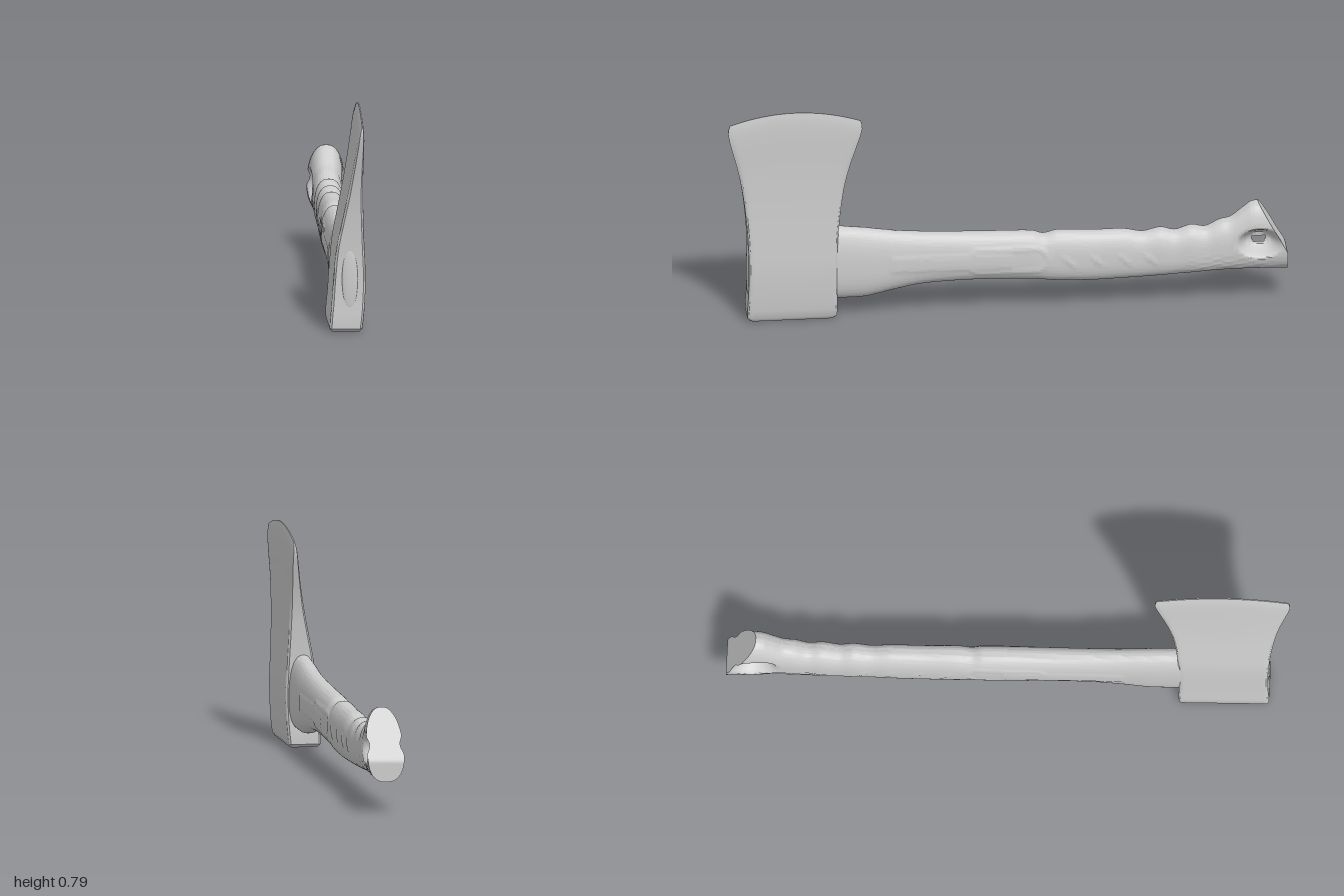
import * as THREE from 'three';
import { toCreasedNormals } from 'three/addons/utils/BufferGeometryUtils.js';

const smooth = THREE.MathUtils.smoothstep;

// Interpolates a table of rows [key, a, b, ...] (ascending keys) with a smooth curve.
function sample(rows, key) {
  let i = 0;
  while (i < rows.length - 2 && key > rows[i + 1][0]) i++;
  const p = rows[Math.max(i - 1, 0)], a = rows[i], b = rows[i + 1];
  const q = rows[Math.min(i + 2, rows.length - 1)];
  const h = b[0] - a[0], t = THREE.MathUtils.clamp((key - a[0]) / h, 0, 1);
  return a.map((v, c) => {
    const ma = (b[c] - p[c]) / (b[0] - p[0]) * h;
    const mb = (q[c] - v) / (q[0] - a[0]) * h;
    const t2 = t * t, t3 = t2 * t;
    return (2 * t3 - 3 * t2 + 1) * v + (t3 - 2 * t2 + t) * ma
      + (3 * t2 - 2 * t3) * b[c] + (t3 - t2) * mb;
  });
}

// Skins left-right mirrored rings; quads whose corners are all marked open are left out.
function loft(rings, crease) {
  const n = rings[0].length, index = [];
  const quad = (a, b, c, d) => index.push(a, b, c, a, c, d);
  for (let i = 0; i < rings.length - 1; i++) {
    for (let j = 0; j < n; j++) {
      const k = (j + 1) % n;
      if ([rings[i][j], rings[i][k], rings[i + 1][j], rings[i + 1][k]].every(p => p.open)) continue;
      quad(i * n + j, i * n + k, (i + 1) * n + k, (i + 1) * n + j);
    }
  }
  const last = (rings.length - 1) * n;
  for (let j = 0; j < n / 2 - 1; j++) {
    quad(last + j, last + j + 1, last + n - 2 - j, last + n - 1 - j);
    quad(n - 1 - j, n - 2 - j, j + 1, j);
  }
  const geometry = new THREE.BufferGeometry().setFromPoints(rings.flat());
  geometry.setIndex(index);
  return toCreasedNormals(geometry, crease);
}

// Axe head: y, centre x, half thickness, back z, front z
const HEAD = [
  [0, 0.015, 0.05, 0.622, 0.918], [0.012, 0.015, 0.058, 0.61, 0.93],
  [0.1, 0.023, 0.059, 0.61, 0.927], [0.2, 0.028, 0.057, 0.61, 0.925],
  [0.3, 0.031, 0.05, 0.607, 0.928], [0.4, 0.039, 0.038, 0.598, 0.936],
  [0.5, 0.048, 0.027, 0.584, 0.949], [0.6, 0.056, 0.019, 0.563, 0.966],
  [0.7, 0.064, 0.013, 0.536, 0.988], [0.76, 0.068, 0.008, 0.52, 1],
  [0.79, 0.07, 0.002, 0.525, 0.994],
];

function headGeometry() {
  const rings = [], N = 24;
  const levels = [0, 0.004, 0.012];
  for (let y = 0.04; y < 0.765; y += 0.03) levels.push(y);
  levels.push(0.775, 0.785, 0.79);
  for (const level of levels) {
    const [, cx, half, back, front] = sample(HEAD, level);
    const arc = 0.04 * smooth(level, 0.45, 0.77);
    const ring = [];
    for (const side of [1, -1]) {
      for (let j = 0; j <= N; j++) {
        const s = side * Math.cos(Math.PI * j / N);
        const z = (back + front) / 2 + s * (front - back) / 2;
        const t = half - Math.min(0.008, half * 0.3) * smooth(Math.abs(s), 0.95, 1);
        ring.push(new THREE.Vector3(cx + 0.035 * (z - 0.77) + side * t, level - arc * s * s, z));
      }
    }
    rings.push(ring);
  }
  return loft(rings, 0.6);
}

// Handle: z, top y, bottom y, half width
const HANDLE = [
  [-1, 0.368, 0.116, 0.066], [-0.88, 0.368, 0.118, 0.06], [-0.84, 0.342, 0.118, 0.056],
  [-0.8, 0.312, 0.118, 0.053], [-0.76, 0.302, 0.117, 0.053], [-0.71, 0.279, 0.114, 0.05],
  [-0.66, 0.286, 0.111, 0.052], [-0.6, 0.27, 0.108, 0.049], [-0.55, 0.281, 0.105, 0.051],
  [-0.485, 0.269, 0.102, 0.048], [-0.42, 0.28, 0.1, 0.05], [-0.3, 0.281, 0.097, 0.05],
  [-0.18, 0.286, 0.101, 0.051], [-0.13, 0.276, 0.106, 0.049], [-0.09, 0.287, 0.11, 0.051],
  [0.1, 0.292, 0.116, 0.05], [0.3, 0.3, 0.108, 0.048], [0.4, 0.308, 0.09, 0.048],
  [0.5, 0.322, 0.068, 0.05], [0.55, 0.328, 0.065, 0.05], [0.64, 0.337, 0.065, 0.05],
];

// Raised side details: long panel, rounded grip loop, slanted bars and rear ribs
function relief(z, y) {
  const frame = (z0, z1, r) => {
    const dz = Math.max(z0 - z, z - z1, 0);
    return Math.abs(Math.hypot(dz, y - 0.193) - r);
  };
  let r = z > -0.02 && z < 0.41 ? 1 - smooth(Math.abs(y - 0.193), 0.025, 0.035) : 0;
  r = Math.max(r, 1 - smooth(frame(-0.1, 0.1, 0.042), 0.004, 0.012));
  for (const bar of [-0.22, -0.32, -0.42, -0.51]) {
    const across = z - bar - (y - 0.18) * 0.8;
    r = Math.max(r, 1 - smooth(Math.hypot(across / 0.014, (y - 0.18) / 0.024), 0.6, 1.2));
  }
  const ribs = smooth(-z, 0.6, 0.7) * (1 - smooth(y, 0.17, 0.2)) * (1 - smooth(-z, 0.93, 0.97));
  return r + ribs * 0.5 * Math.sin((y + z * 0.22) * 340);
}

function handleGeometry() {
  const rings = [], N = 96;
  const power = v => Math.sign(v) * Math.abs(v) ** 0.8;
  for (let z0 = 0.64; z0 > -1.001; z0 -= z0 < -0.8 ? 0.005 : 0.01) {
    const [, top, bottom, width] = sample(HANDLE, z0);
    const ring = [];
    for (let j = 0; j < N; j++) {
      const a = (j + 0.5) / N * Math.PI * 2;
      const y = (top + bottom) / 2 + power(Math.cos(a)) * (top - bottom) / 2;
      // slanted butt
      const z = Math.max(z0, -1 + Math.max(0, y - 0.19) * 0.57);
      // side dents meeting in a lanyard hole
      const d = Math.hypot((z + 0.9) / 0.03, (y - 0.227) / 0.02);
      const pinch = smooth(d, 1, 3);
      let x = width * power(Math.sin(a)) * (1 - 0.1 * Math.cos(a)) * pinch;
      x *= 1 + 0.05 * relief(z, y);
      const point = new THREE.Vector3(0.003 + 0.024 * z + x, y, z);
      point.open = pinch === 0;
      ring.push(point);
    }
    rings.push(ring);
  }
  return loft(rings, 0.7);
}

export function createModel() {
  const group = new THREE.Group();
  const material = new THREE.MeshStandardMaterial({ color: 0xcccccc, roughness: 0.7 });
  const add = (name, geometry) => {
    const mesh = new THREE.Mesh(geometry, material);
    mesh.name = name;
    group.add(mesh);
    return mesh;
  };
  add('axeHead', headGeometry());
  add('handle', handleGeometry());

  // End of the handle showing through the eye of the head
  const plug = add('eyePlug', new THREE.SphereGeometry(1, 32, 16));
  plug.scale.set(0.028, 0.11, 0.007);
  plug.position.set(0.034, 0.19, 0.925);
  return group;
}
